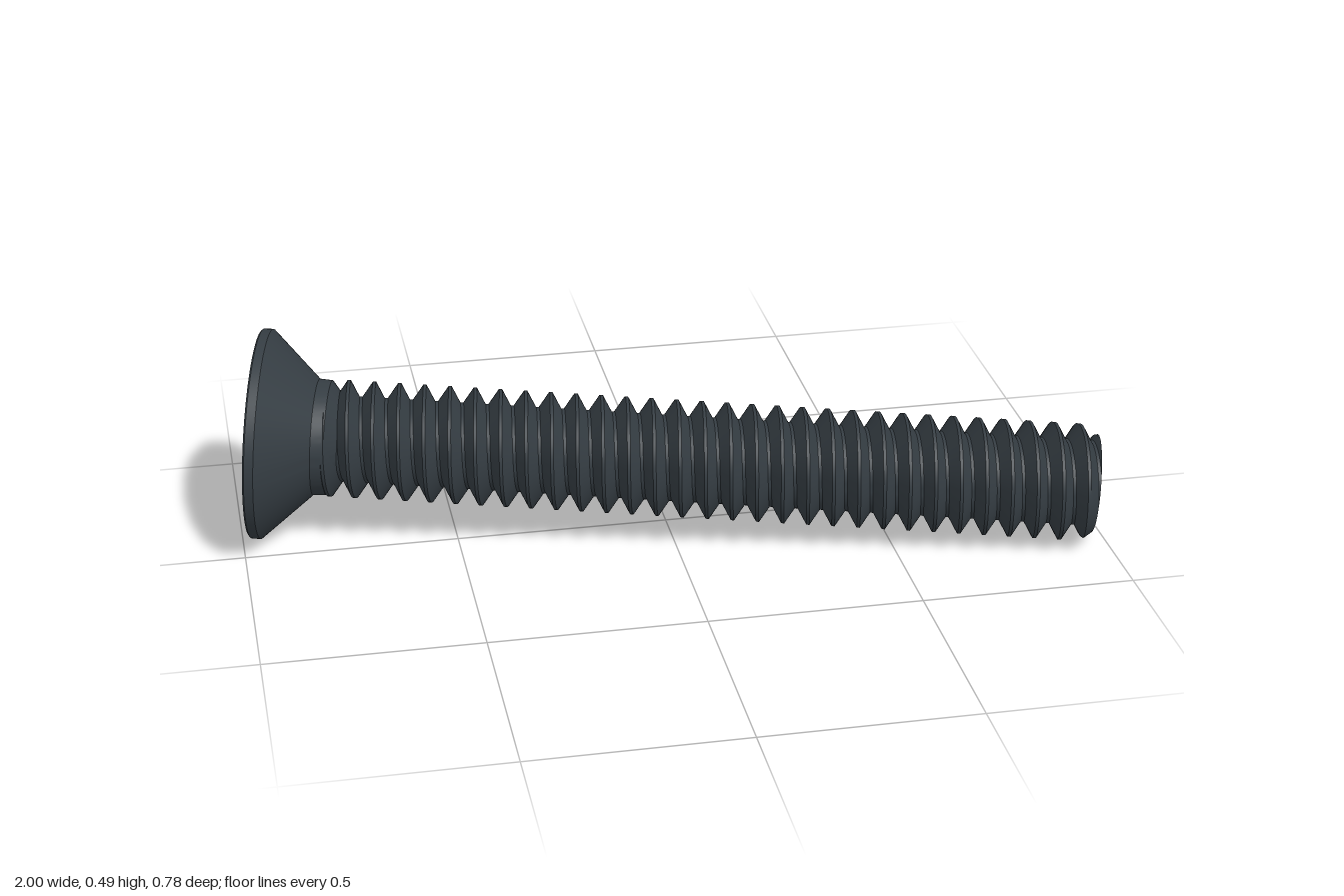
import * as THREE from 'three';
import { toCreasedNormals } from 'three/addons/utils/BufferGeometryUtils.js';

const HEAD_R = 0.247, MAJOR = 0.138, MINOR = 0.101;
const PITCH = 0.0592, START = 0.165, END = 1.972, TIP_R = 0.115, CHAMFER = 0.03;
const RECESS_DEPTH = 0.11;

function geometryFrom(positions, index) {
  const g = new THREE.BufferGeometry();
  g.setAttribute('position', new THREE.Float32BufferAttribute(positions, 3));
  if (index) g.setIndex(index);
  g.computeVertexNormals();
  return g;
}

// Thread radius at axial position t and angle turn (0..1)
function threadRadius(t, turn) {
  let p = (t - START) / PITCH - turn;
  p = p - Math.floor(p + 1e-6);
  let h = 0;
  if (p > 0.12 && p < 0.5) h = (p - 0.12) / 0.38;
  else if (p >= 0.5 && p <= 0.62) h = 1;
  else if (p > 0.62) h = (1 - p) / 0.38;
  const limit = TIP_R + (MAJOR - TIP_R) * Math.max(0, END - t) / CHAMFER;
  return Math.min(MINOR + (MAJOR - MINOR) * Math.max(0, h), limit);
}

// Helical shank: each column follows the thread, trimmed square at both ends
function threadGeometry() {
  const seg = 64, steps = [0, 0.12, 0.25, 0.375, 0.5, 0.62, 0.75, 0.875];
  const turns = Math.ceil((END - START) / PITCH) + 1;
  const rows = [];
  for (let k = -1; k < turns; k++) for (const s of steps) rows.push(k + s);
  const pos = [], index = [], ts = [], n = rows.length;
  for (let i = 0; i <= seg; i++) {
    const turn = i / seg, a = turn * Math.PI * 2;
    for (const w of rows) {
      const t = Math.min(END, Math.max(START, START + PITCH * (turn + w)));
      const r = threadRadius(t, turn);
      pos.push(r * Math.sin(a), t, r * Math.cos(a));
      ts.push(t);
    }
  }
  for (let i = 0; i < seg; i++) {
    for (let j = 0; j < n - 1; j++) {
      const a = i * n + j, b = a + n, c = b + 1, d = a + 1;
      if (ts[d] - ts[a] > 1e-6) index.push(a, b, d);
      if (ts[c] - ts[b] > 1e-6) index.push(c, d, b);
    }
  }
  // flat end of the shank
  const centre = pos.length / 3;
  pos.push(0, END, 0);
  for (let i = 0; i < seg; i++) index.push(i * n + n - 1, (i + 1) * n + n - 1, centre);
  return toCreasedNormals(geometryFrom(pos, index), 0.5);
}

// Counter-clockwise plus outline with arm length l and half width w
function crossOutline(l, w) {
  const pts = [];
  for (let k = 0; k < 4; k++) {
    const c = Math.round(Math.cos(k * Math.PI / 2)), s = Math.round(Math.sin(k * Math.PI / 2));
    for (const [x, y] of [[l, -w], [l, w], [w, w]]) {
      pts.push(new THREE.Vector2(x * c - y * s, x * s + y * c));
    }
  }
  return pts;
}

export function createModel() {
  const model = new THREE.Group();
  const steel = new THREE.MeshStandardMaterial({ color: 0x353d43 });
  steel.name = 'blackened steel';
  const screw = new THREE.Group();
  screw.name = 'screw';
  model.add(screw);
  const add = (geometry, name) => {
    const mesh = new THREE.Mesh(geometry, steel);
    mesh.name = name;
    screw.add(mesh);
  };

  // Countersunk head and neck
  const profile = [[0.243, 0], [HEAD_R, 0.004], [HEAD_R, 0.025], [0.137, 0.14], [0.135, 0.17], [0.098, 0.2]]
    .map(([x, y]) => new THREE.Vector2(x, y));
  add(toCreasedNormals(new THREE.LatheGeometry(profile, 96), 0.4), 'countersunkHead');

  // Head face with the cross opening
  const outer = crossOutline(0.15, 0.04), inner = crossOutline(0.065, 0.026);
  const face = new THREE.Shape().absarc(0, 0, 0.243, 0, Math.PI * 2, false);
  face.holes.push(new THREE.Path(outer));
  add(new THREE.ShapeGeometry(face, 48).rotateX(Math.PI / 2), 'headFace');

  // Tapered walls and floor of the drive recess
  const walls = [];
  outer.forEach((p, i) => {
    const j = (i + 1) % outer.length, q = outer[j], u = inner[i], v = inner[j], d = RECESS_DEPTH;
    walls.push(p.x, 0, p.y, q.x, 0, q.y, u.x, d, u.y);
    walls.push(q.x, 0, q.y, v.x, d, v.y, u.x, d, u.y);
  });
  add(geometryFrom(walls), 'recessWalls');
  add(new THREE.ShapeGeometry(new THREE.Shape(inner)).rotateX(Math.PI / 2).translate(0, RECESS_DEPTH, 0), 'recessFloor');

  add(threadGeometry(), 'threadedShank');

  // Lay the screw down, resting on the head rim and the tip
  const axis = new THREE.Vector3(1.927, -0.113, 0.41).normalize();
  const up = new THREE.Vector3(0, 1, 0).addScaledVector(axis, -axis.y).normalize();
  const side = new THREE.Vector3().crossVectors(up, axis);
  screw.quaternion.setFromRotationMatrix(new THREE.Matrix4().makeBasis(up, axis, side));
  screw.position.set(-0.948, 0.248, -0.148);
  return model;
}
